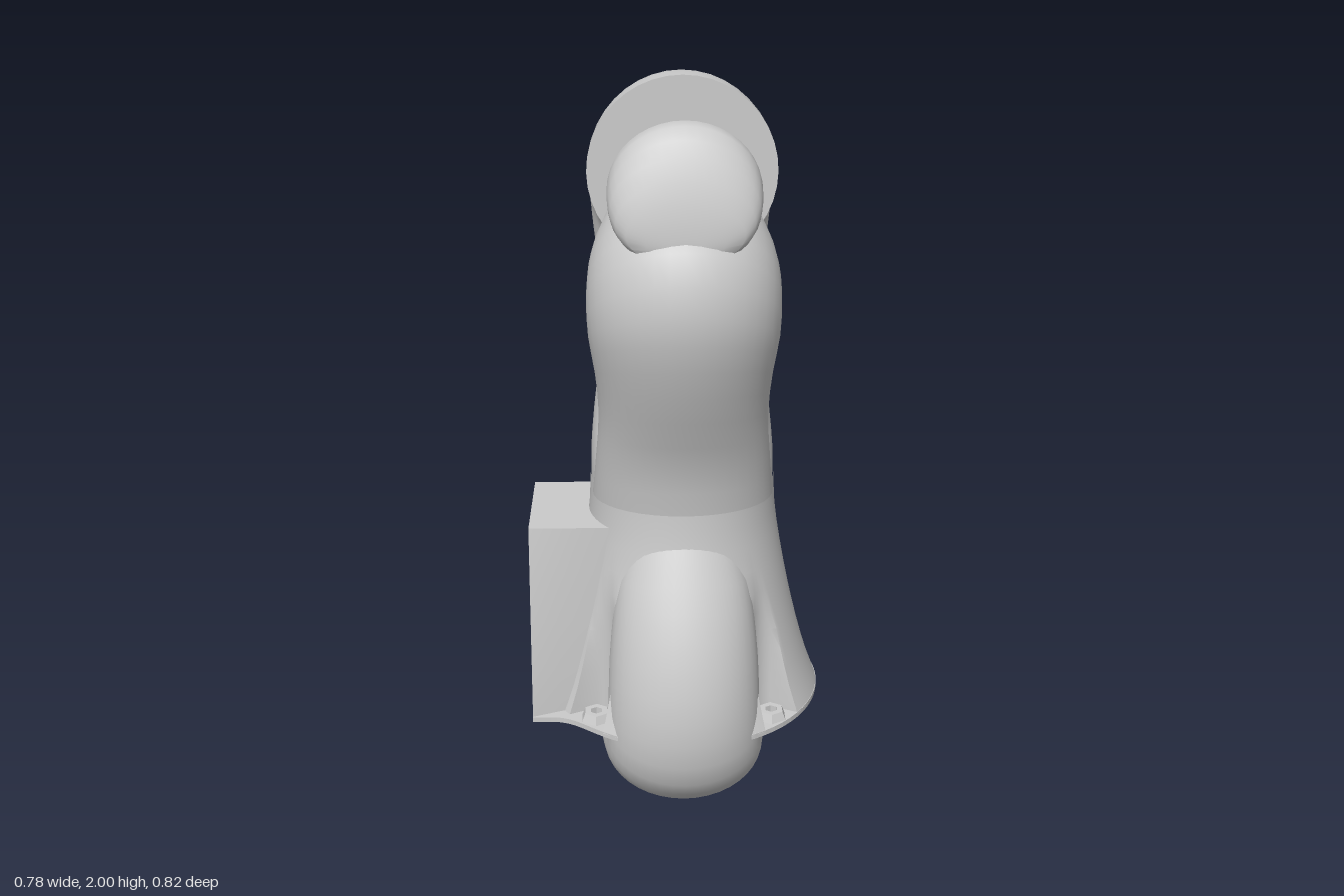
import * as THREE from 'three';
import { toCreasedNormals } from 'three/addons/utils/BufferGeometryUtils.js';

const material = new THREE.MeshStandardMaterial({ color: 0xcccccc });

function add(parent, name, geometry) {
  const mesh = new THREE.Mesh(geometry, material);
  mesh.name = name;
  parent.add(mesh);
  return mesh;
}

// Crease at a larger scale so that close vertices are told apart
function crease(geometry, angle) {
  return toCreasedNormals(geometry.scale(100, 100, 100), angle).scale(0.01, 0.01, 0.01);
}

// Skin over a list of closed rings; a ring drawn in to a point becomes a fan
function skin(rings) {
  const n = rings[0].length, index = [];
  const isPoint = ring => ring[0].distanceTo(ring[n >> 1]) < 1e-6;
  for (let i = 0; i < rings.length - 1; i++) {
    for (let j = 0; j < n; j++) {
      const a = i * n + j, b = i * n + (j + 1) % n;
      if (!isPoint(rings[i])) index.push(a, b, a + n);
      if (!isPoint(rings[i + 1])) index.push(b, b + n, a + n);
    }
  }
  const geometry = new THREE.BufferGeometry().setFromPoints(rings.flat());
  geometry.setIndex(index);
  return crease(geometry, 0.7);
}

// Bent pipe: each section is [outer depth, outer y, inner depth, inner y, half width];
// depth runs towards -z. A bore is the relative size of a hole in the first end.
function pipe(sections, bore = 0) {
  const outer = new THREE.CatmullRomCurve3(sections.map(s => new THREE.Vector3(s[4], s[1], -s[0])));
  const inner = new THREE.CatmullRomCurve3(sections.map(s => new THREE.Vector3(s[4], s[3], -s[2])));
  const ring = (t, scale = 1, shift = 0) => {
    const a = outer.getPoint(t), b = inner.getPoint(t);
    const width = a.x * scale;
    a.x = b.x = 0;
    const mid = a.clone().add(b).multiplyScalar(0.5);
    const half = a.sub(mid).multiplyScalar(scale);
    return Array.from({ length: 40 }, (_, j) => {
      const q = j / 40 * Math.PI * 2;
      const p = mid.clone().addScaledVector(half, Math.cos(q));
      p.x = width * Math.sin(q);
      p.z -= shift;
      return p;
    });
  };
  const rings = bore ? [ring(0, 0, 0.12), ring(0, bore, 0.12), ring(0, bore)] : [ring(0, 0)];
  const steps = (sections.length - 1) * 2;
  for (let i = 0; i <= steps; i++) rings.push(ring(i / steps));
  rings.push(ring(1, 0));
  return skin(rings);
}

export function createModel() {
  const model = new THREE.Group();
  model.name = 'twinElbowValve';
  const body = new THREE.Group();
  body.name = 'body';
  body.position.x = 0.013;
  model.add(body);

  // Tall rear elbow, its open face towards the front
  add(body, 'rearElbow', pipe([
    [0, 2.0, 0, 1.52, 0.24],
    [0.14, 1.99, 0.015, 1.515, 0.24],
    [0.28, 1.945, 0.025, 1.505, 0.24],
    [0.37, 1.86, 0.03, 1.49, 0.238],
    [0.405, 1.73, 0.025, 1.46, 0.232],
    [0.4, 1.6, 0.01, 1.42, 0.222],
    [0.36, 1.45, -0.03, 1.35, 0.21],
    [0.3, 1.29, -0.1, 1.25, 0.215],
    [0.25, 1.13, -0.15, 1.12, 0.232],
    [0.235, 1.02, -0.21, 1.02, 0.241],
    [0.243, 0.93, -0.243, 0.93, 0.241],
  ], 0.4));

  // Shorter front elbow, turned to face it
  add(body, 'frontElbow', pipe([
    [0, 1.78, 0, 1.36, 0.21],
    [0.13, 1.77, 0.01, 1.355, 0.225],
    [0.27, 1.735, 0.02, 1.345, 0.236],
    [0.37, 1.65, 0.025, 1.33, 0.24],
    [0.41, 1.5, 0.02, 1.3, 0.236],
    [0.385, 1.36, 0.0, 1.24, 0.222],
    [0.33, 1.21, -0.02, 1.15, 0.215],
    [0.27, 1.06, -0.04, 1.03, 0.225],
    [0.246, 0.93, -0.1, 0.93, 0.236],
  ], 0.4)).rotation.y = Math.PI;

  // Domed cap standing on the front elbow
  add(body, 'frontCap', pipe([
    [0.22, 1.93, 0.22, 1.6, 0.185],
    [0.265, 1.925, 0.245, 1.6, 0.185],
    [0.31, 1.86, 0.3, 1.6, 0.178],
    [0.343, 1.76, 0.338, 1.61, 0.14],
    [0.355, 1.68, 0.355, 1.64, 0.04],
  ])).rotation.y = Math.PI;

  // Lower elbows bulging out front and back and curling underneath
  const lower = [
    [0.23, 0.88, 0.05, 0.88, 0.12],
    [0.3, 0.75, 0.06, 0.7, 0.17],
    [0.36, 0.62, 0.06, 0.55, 0.19],
    [0.4, 0.48, 0.07, 0.46, 0.198],
    [0.41, 0.35, 0.1, 0.41, 0.2],
    [0.385, 0.22, 0.14, 0.4, 0.202],
    [0.32, 0.14, 0.16, 0.4, 0.208],
    [0.22, 0.1, 0.16, 0.4, 0.215],
    [0.12, 0.08, 0.15, 0.4, 0.222],
  ];
  add(body, 'rearLowerElbow', pipe(lower));
  add(body, 'frontLowerElbow', pipe(lower)).rotation.y = Math.PI;

  // Core and rounded underside between the lower elbows
  const core = add(body, 'lowerCore', new THREE.SphereGeometry(1, 32, 20));
  core.scale.set(0.238, 0.26, 0.24);
  core.position.y = 0.32;
  const joint = add(body, 'bottomJoint', new THREE.SphereGeometry(1, 32, 20));
  joint.scale.set(0.21, 0.135, 0.175);
  joint.position.set(0, 0.138, -0.05);
  joint.rotation.x = -0.25;

  // Flared housing with a vertical pocket cleared for each bolt
  const bolt = 0.233, reach = bolt * Math.SQRT2, pocket = 0.055;
  const flare = new THREE.SplineCurve([
    [0.374, 0.335], [0.34, 0.43], [0.305, 0.56], [0.275, 0.7], [0.25, 0.85], [0.243, 0.96],
  ].map(p => new THREE.Vector2(...p)));
  const rings = flare.getPoints(12).map(({ x: r, y }) => Array.from({ length: 144 }, (_, j) => {
    const q = j / 144 * Math.PI * 2;
    const off = (j % 36) / 36 * Math.PI / 2 - Math.PI / 4;
    const gap = pocket ** 2 - (reach * Math.sin(off)) ** 2;
    const radius = gap > 0 ? Math.min(r, reach * Math.cos(off) - Math.sqrt(gap)) : r;
    return new THREE.Vector3(radius * Math.sin(q), y, radius * Math.cos(q));
  }));
  add(body, 'flaredHousing', skin(rings));

  // Base flange: a disc running out to a square end, with hexagonal bolt holes
  const outline = new THREE.Shape();
  outline.absarc(0, 0, 0.374, -Math.PI * 2 / 3, Math.PI * 2 / 3, false);
  outline.bezierCurveTo(-0.26, 0.28, -0.29, 0.228, -0.355, 0.228);
  outline.lineTo(-0.403, 0.228);
  outline.lineTo(-0.403, -0.228);
  outline.lineTo(-0.355, -0.228);
  outline.bezierCurveTo(-0.29, -0.228, -0.26, -0.28, -0.187, -0.3239);
  const corners = [[1, 1], [1, -1], [-1, 1], [-1, -1]];
  for (const [sx, sz] of corners) {
    outline.holes.push(new THREE.Path(Array.from({ length: 6 }, (_, k) => new THREE.Vector2(
      sx * bolt + 0.017 * Math.sin(k * Math.PI / 3),
      sz * bolt + 0.017 * Math.cos(k * Math.PI / 3),
    ))));
  }
  const plate = new THREE.ExtrudeGeometry(outline, { depth: 0.014, bevelEnabled: false, curveSegments: 24 });
  plate.rotateX(-Math.PI / 2);
  add(body, 'baseFlange', plate).position.y = 0.325;

  // Hexagonal bolt seats
  const seat = [[0.044, 0.338], [0.034, 0.362], [0.017, 0.362], [0.017, 0.33]]
    .map(p => new THREE.Vector2(...p));
  for (const [sx, sz] of corners) {
    const geometry = crease(new THREE.LatheGeometry(seat, 6), 0.3);
    add(body, 'boltSeat', geometry).position.set(sx * bolt, 0, sz * bolt);
  }

  // Side box, widening downwards and outwards
  const box = new THREE.BoxGeometry(0.3, 0.525, 2, 4, 4, 1);
  const p = box.attributes.position;
  for (let i = 0; i < p.count; i++) {
    const out = 0.5 - p.getX(i) / 0.3, down = 0.5 - p.getY(i) / 0.525;
    p.setZ(i, p.getZ(i) * (0.157 + 0.068 * down * out * out));
  }
  add(body, 'sideBox', crease(box, 0.5)).position.set(-0.253, 0.5975, 0);

  return model;
}
